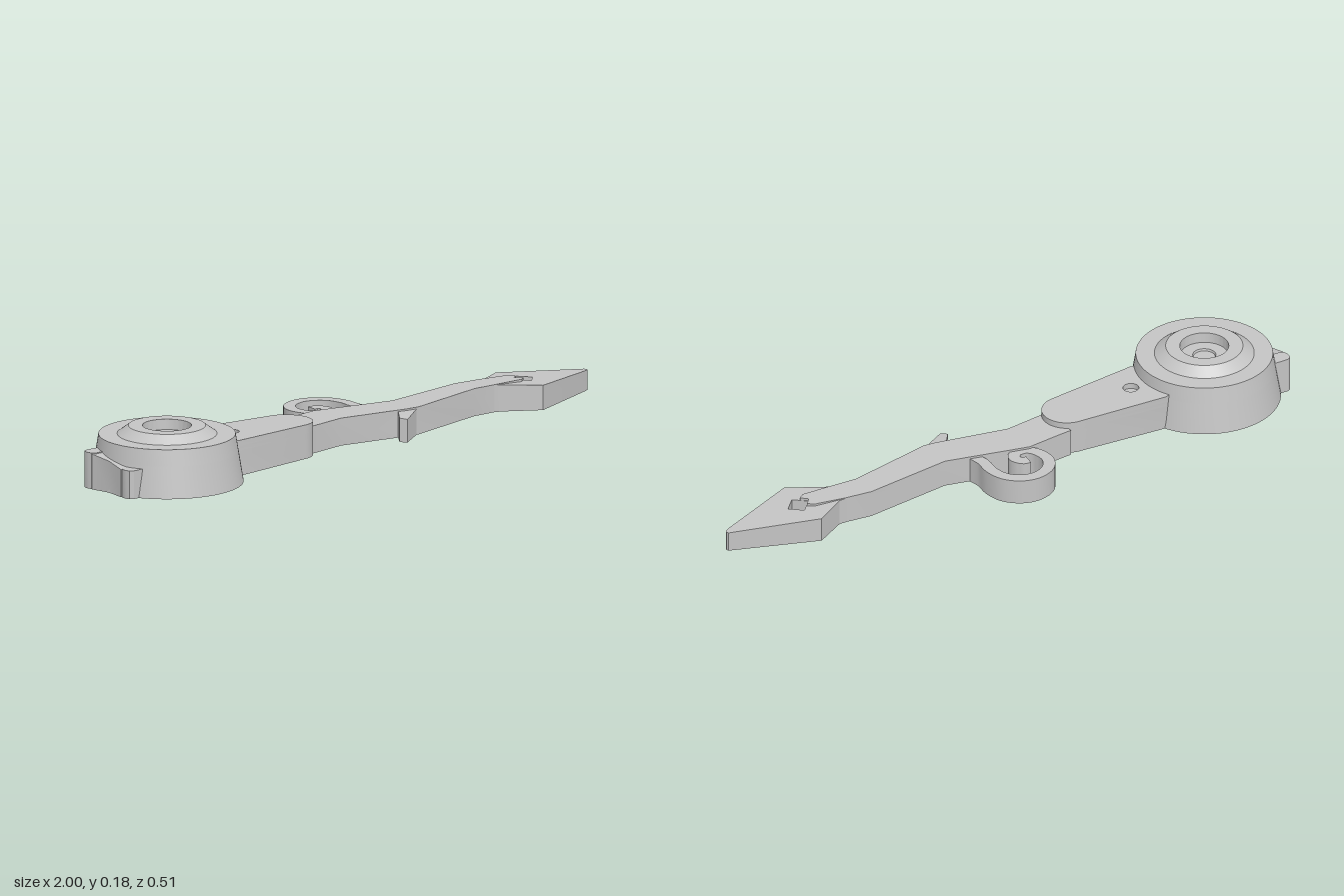
import * as THREE from 'three';
import { toCreasedNormals } from 'three/addons/utils/BufferGeometryUtils.js';

const metal = new THREE.MeshStandardMaterial({ color: 0xc4c4c4 });
metal.name = 'greyMetal';
const HUB = { x: -0.752, z: 0.014 };

// Points are given as [x, z] on the ground plane.
const toPoints = (pts) => pts.map(([x, z]) => new THREE.Vector2(x, -z));
const arc = (cx, cz, r, a0, a1, n = 24) =>
  Array.from({ length: n + 1 }, (_, i) => {
    const a = a0 + ((a1 - a0) * i) / n;
    return [cx + r * Math.cos(a), cz + r * Math.sin(a)];
  });

// Upright slab from a plan outline; topRule bends the upper face.
// Holes are wound against the outline so their walls face inwards.
function slab(name, outline, y0, y1, holes = [], topRule = null) {
  const shape = new THREE.Shape(toPoints(outline));
  shape.holes = holes.map((h) => new THREE.Path(toPoints(h).reverse()));
  const geo = new THREE.ExtrudeGeometry(shape, { depth: y1 - y0, bevelEnabled: false });
  geo.rotateX(-Math.PI / 2).translate(0, y0, 0);
  if (topRule) {
    const p = geo.attributes.position;
    for (let i = 0; i < p.count; i++) {
      if (p.getY(i) > (y0 + y1) / 2) p.setY(i, topRule(p.getX(i), p.getZ(i)));
    }
  }
  const mesh = new THREE.Mesh(toCreasedNormals(geo, 0.5), metal);
  mesh.name = name;
  return mesh;
}

// Turned part on the hub axis, leaving out some of 72 segments around +x.
function turned(name, profile, skip = 0) {
  const pts = profile.map(([r, y]) => new THREE.Vector2(r, y));
  const step = (Math.PI * 2) / 72;
  const lathe = new THREE.LatheGeometry(
    pts, 72 - skip, Math.PI / 2 + (skip / 2) * step, (72 - skip) * step);
  const mesh = new THREE.Mesh(toCreasedNormals(lathe, 0.3), metal);
  mesh.name = name;
  mesh.position.set(HUB.x, 0, HUB.z);
  return mesh;
}

// Ribbon outline of constant width along a smooth path.
function ribbon(path, half, n = 60) {
  const curve = new THREE.SplineCurve(path.map(([x, z]) => new THREE.Vector2(x, z)));
  const a = [], b = [];
  for (let i = 0; i <= n; i++) {
    const p = curve.getPoint(i / n), t = curve.getTangent(i / n);
    a.push([p.x - t.y * half, p.y + t.x * half]);
    b.unshift([p.x + t.y * half, p.y - t.x * half]);
  }
  return [...a, ...b];
}

export function createModel() {
  const model = new THREE.Group();
  model.name = 'pointerHand';

  // Hub: lower wall is interrupted where the underside slot passes into the arm
  model.add(
    turned('hubSkirt', [[0.195, 0], [0.238, 0], [0.2216, 0.1]], 8),
    turned('hubCap', [
      [0.2216, 0.1], [0.213, 0.152], [0.155, 0.152], [0.12, 0.178], [0.076, 0.178],
      [0.074, 0.145], [0.036, 0.145], [0.034, 0.138], [0, 0.138],
    ]),
  );

  // Neck with a keyhole-shaped slot underneath
  const corner = Math.PI * 0.16;
  const neck = [
    ...arc(HUB.x, HUB.z, 0.2, corner, Math.PI * 2 - corner, 48),
    [-0.545, -0.094], [-0.25, -0.069],
    ...arc(-0.25, 0.012, 0.081, -Math.PI / 2, Math.PI / 2),
    [-0.545, 0.119],
  ];
  const slot = [
    ...arc(HUB.x, HUB.z, 0.09, 0.5 * Math.PI - 0.1, 1.5 * Math.PI + 0.1),
    ...arc(-0.27, HUB.z, 0.035, -Math.PI / 2 + 0.1, Math.PI / 2 - 0.1),
  ];
  const pinHole = arc(-0.482, 0.012, 0.025, 0, Math.PI * 2 * 23 / 24, 23);
  model.add(
    slab('neckBase', neck, 0, 0.08, [slot]),
    slab('neckCore', neck, 0.08, 0.095),
    slab('neckTop', neck, 0.095, 0.115, [pinHole], (x) => 0.114 - (x + 0.55) * 0.018),
  );

  // Wavy arm, forked around the window of the pointer head
  model.add(slab('arm', [
    [-0.21, -0.072], [-0.16, -0.076], [-0.05, -0.088], [0.0, -0.076], [0.22, -0.022],
    [0.51, -0.056], [0.6, -0.045], [0.7, -0.026], [0.718, -0.01], [0.698, 0.01],
    [0.718, 0.03], [0.7, 0.044], [0.6, 0.04],
    [0.51, 0.035], [0.225, 0.093], [0.18, 0.088], [-0.05, 0.04], [-0.21, 0.06],
  ], 0, 0.088));

  // Sloping diamond head with a diamond window
  const d = 0.037, hx = 0.737, hz = 0.01;
  model.add(slab('pointerHead', [
    [0.59, -0.046], [0.62, -0.045], [0.72, -0.1], [0.98, -0.004], [0.997, 0.002],
    [1, 0.01], [0.997, 0.018], [0.98, 0.026], [0.72, 0.12], [0.61, 0.046], [0.59, 0.04],
  ], 0, 0.08, [[[hx - d, hz], [hx, hz - d], [hx + d, hz], [hx, hz + d]]],
  (x) => 0.086 - (x - 0.6) * 0.055));

  // Scroll and thorn on the sides of the arm
  model.add(slab('scroll', ribbon([
    [0.124, -0.03], [0.115, -0.08], [0.119, -0.13], [0.106, -0.183], [0.069, -0.221],
    [0.02, -0.234], [-0.033, -0.217], [-0.064, -0.174], [-0.062, -0.125],
    [-0.038, -0.09], [0, -0.086], [0.02, -0.11], [0.008, -0.137], [-0.012, -0.14],
  ], 0.019), 0, 0.081));
  model.add(slab('thorn', [
    [0.15, 0.05], [0.15, 0.082], [0.115, 0.128], [0.13, 0.148], [0.215, 0.094], [0.2, 0.06],
  ], 0, 0.08, [], (x, z) => 0.083 - Math.max(0, z - 0.09) * 0.16));

  // Two-lobed grip at the back of the hub
  [[-0.105, -0.055, 0.115], [0.07, 0.12, 0.09]].forEach(([z0, z1, h], i) => {
    model.add(slab(i ? 'frontGripLobe' : 'backGripLobe', [
      [-0.92, z0], [-0.985, z0], [-0.997, z0 + 0.008], [-1, z0 + 0.02],
      [-1, z1 - 0.02], [-0.997, z1 - 0.008], [-0.985, z1], [-0.92, z1],
    ], 0, h));
  });
  model.add(slab('gripBridge', [
    [-0.92, -0.06], [-0.999, -0.06], [-0.988, 0.008], [-0.999, 0.075], [-0.92, 0.075],
  ], 0, 0.1, [], (x, z) => 0.102 - z * 0.18));

  return model;
}
